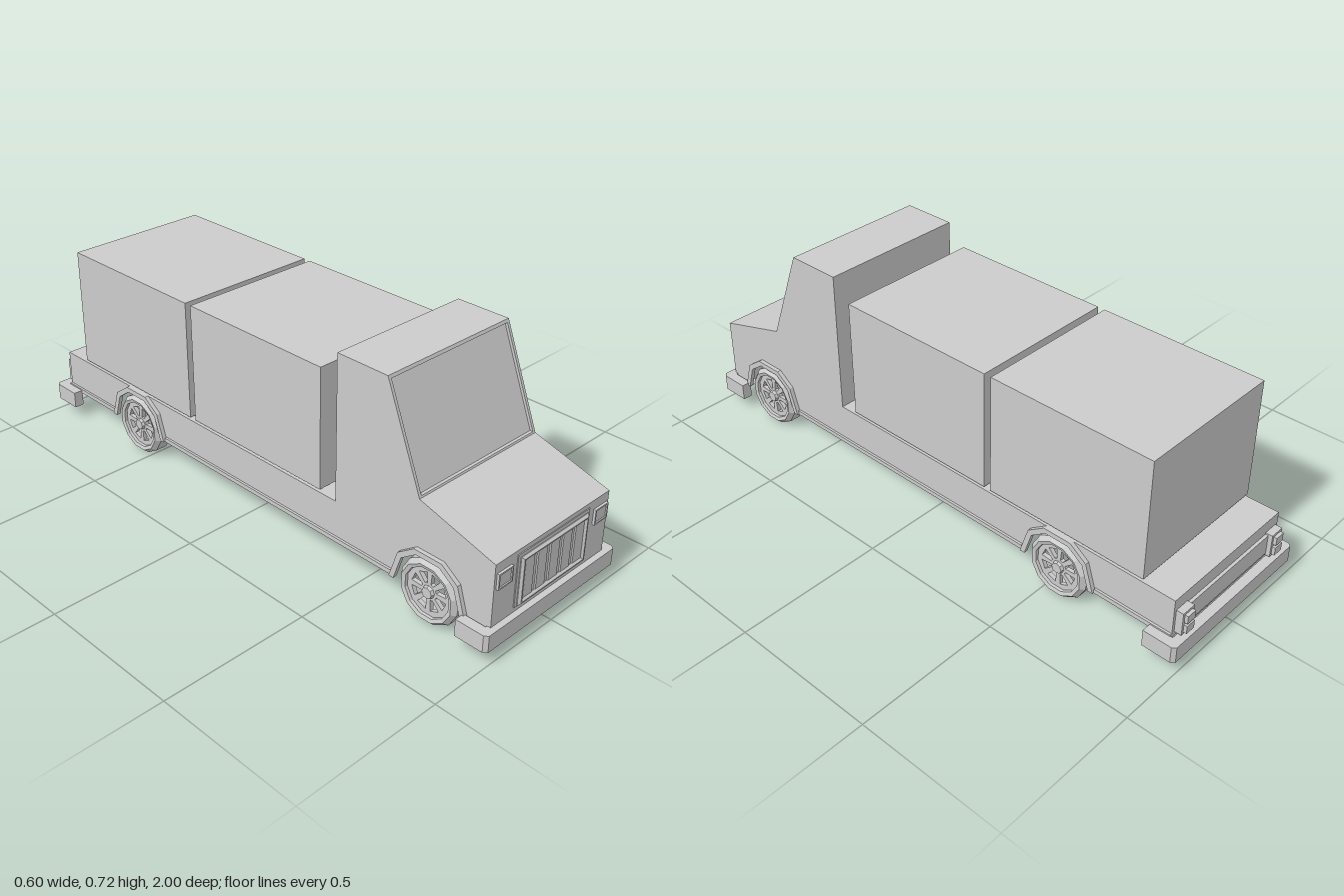
import * as THREE from 'three';

const mat = new THREE.MeshStandardMaterial({ color: 0xcccccc, flatShading: true });
const W = 0.258, FLOOR = 0.095, AXLES = [0.76, -0.55];

const shapeOf = (pts) => new THREE.Shape(pts.map(([x, y]) => new THREE.Vector2(x, y)));

function add(parent, name, geo, x = 0, y = 0, z = 0) {
  const m = new THREE.Mesh(geo, mat);
  m.name = name;
  m.position.set(x, y, z);
  parent.add(m);
  return m;
}

// box given by its limits
function box(parent, name, x0, x1, y0, y1, z0, z1) {
  return add(parent, name, new THREE.BoxGeometry(x1 - x0, y1 - y0, z1 - z0),
    (x0 + x1) / 2, (y0 + y1) / 2, (z0 + z1) / 2);
}

// extrude a (z, y) outline sideways from x0 to x1
function extrudeX(pts, x0, x1) {
  const g = new THREE.ExtrudeGeometry(shapeOf(pts), { depth: x1 - x0, bevelEnabled: false });
  return g.rotateY(-Math.PI / 2).translate(x1, 0, 0);
}

// wheel arch outline around an axle, front to back or reversed
const archOuter = [[0.14, FLOOR], [0.11, 0.19], [0.05, 0.233], [-0.05, 0.233], [-0.11, 0.19], [-0.14, FLOOR]];
const archInner = [[0.122, FLOOR], [0.096, 0.178], [0.043, 0.216], [-0.043, 0.216], [-0.096, 0.178], [-0.122, FLOOR]];
const at = (arch, zc) => arch.map(([z, y]) => [z + zc, y]);

// rectangular frame with a hole, facing +z
function frameGeo(w, h, border, depth, bevel = 0) {
  const rect = (a, b) => [[-a, -b], [a, -b], [a, b], [-a, b]];
  const s = shapeOf(rect(w / 2 - bevel, h / 2 - bevel));
  s.holes.push(shapeOf(rect(w / 2 - border + bevel, h / 2 - border + bevel)));
  return new THREE.ExtrudeGeometry(s, {
    depth, bevelEnabled: bevel > 0, bevelSize: bevel, bevelThickness: bevel, bevelSegments: 1,
  });
}

function makeBody() {
  const body = new THREE.Group();
  body.name = 'body';
  const top = [[0.98, FLOOR], [0.98, 0.312], [0.71, 0.39], [0.7, 0.39], [0.57, 0.72],
    [0.39, 0.72], [0.39, 0.232], [-0.96, 0.232], [-0.96, FLOOR]];

  // hollow skin across the width
  const pos = [];
  for (let i = 0; i < top.length - 1; i++) {
    const [az, ay] = top[i], [bz, by] = top[i + 1];
    const a = [-W, ay, az], b = [W, ay, az], c = [W, by, bz], d = [-W, by, bz];
    pos.push(...a, ...b, ...c, ...a, ...c, ...d);
  }
  const skin = new THREE.BufferGeometry();
  skin.setAttribute('position', new THREE.Float32BufferAttribute(pos, 3));
  skin.computeVertexNormals();
  add(body, 'bodySkin', skin);

  // side panels with wheel openings
  const outline = [...top, ...at(archInner, AXLES[1]).reverse(), ...at(archInner, AXLES[0]).reverse()];
  for (const s of [1, -1]) {
    const g = new THREE.ShapeGeometry(shapeOf(outline.map(([z, y]) => [-s * z, y])));
    add(body, 'sidePanel', g.rotateY(s * Math.PI / 2), s * W);
  }

  // floor with notches for the wheels
  const edge = [];
  for (const zc of [...AXLES].reverse()) {
    edge.push([W, zc - 0.122], [0.19, zc - 0.122], [0.19, zc + 0.122], [W, zc + 0.122]);
  }
  const half = [[W, -0.96], ...edge, [W, 0.98]];
  const floor = shapeOf([...half, ...half.map(([x, z]) => [-x, z]).reverse()]);
  add(body, 'floor', new THREE.ShapeGeometry(floor).rotateX(Math.PI / 2), 0, FLOOR);

  // raised frame around the windshield
  const slope = (y) => 0.71 - (y - 0.39) * 0.13 / 0.33;
  const bar = (y0, y1, x0, x1) => add(body, 'windshieldFrame', extrudeX(
    [[slope(y0), y0], [slope(y1), y1], [slope(y1) - 0.01, y1], [slope(y0) - 0.01, y0]], x0, x1));
  bar(0.39, 0.72, 0.248, W);
  bar(0.39, 0.72, -W, -0.248);
  bar(0.71, 0.72, -0.248, 0.248);
  bar(0.39, 0.396, -0.248, 0.248);
  return body;
}

function makeWheel() {
  const wheel = new THREE.Group();
  wheel.name = 'wheel';
  const tire = [[0.078, -0.028], [0.094, -0.036], [0.107, -0.02], [0.107, 0.02], [0.094, 0.036],
    [0.082, 0.032], [0.078, -0.028]].map(([r, y]) => new THREE.Vector2(r, y));
  const t = new THREE.LatheGeometry(tire, 12);
  add(wheel, 'tire', t.rotateY(Math.PI / 12).rotateZ(-Math.PI / 2));

  // rim with eight wedge openings
  const rim = new THREE.Shape().absarc(0, 0, 0.083, 0, Math.PI * 2);
  for (let i = 0; i < 8; i++) {
    const a = (i + 0.5) * Math.PI / 4;
    const p = (r, da) => [r * Math.cos(a + da), r * Math.sin(a + da)];
    rim.holes.push(shapeOf([p(0.028, -0.16), p(0.064, -0.25), p(0.064, 0.25), p(0.028, 0.16)]));
  }
  const rg = new THREE.ExtrudeGeometry(rim, { depth: 0.014, bevelEnabled: false, curveSegments: 12 });
  add(wheel, 'rim', rg.rotateY(Math.PI / 2), 0.008);
  add(wheel, 'hub', new THREE.CylinderGeometry(0.018, 0.022, 0.012, 8).rotateZ(-Math.PI / 2), 0.026);
  return wheel;
}

// U-shaped bumper with chamfered corners, wrapping the front end
function makeBumper(name) {
  const half = [[0.298, 0.89], [0.298, 0.988], [0.288, 1]];
  const inner = [[0.264, 0.968], [0.264, 0.89]];
  const mirror = (p) => p.map(([x, z]) => [-x, z]).reverse();
  const s = shapeOf([...half, ...mirror(half), ...mirror(inner), ...inner]);
  const g = new THREE.ExtrudeGeometry(s, { depth: 0.057, bevelEnabled: false });
  const m = new THREE.Mesh(g.rotateX(Math.PI / 2).translate(0, 0.105, 0), mat);
  m.name = name;
  return m;
}

export function createModel() {
  const truck = new THREE.Group();
  truck.name = 'truck';
  truck.add(makeBody());

  for (const s of [1, -1]) {
    const x0 = s > 0 ? W : -0.272, x1 = s > 0 ? 0.272 : -W;
    for (const zc of AXLES) {
      add(truck, 'wheelArch', extrudeX([...at(archOuter, zc), ...at(archInner, zc).reverse()], x0, x1));
      const wheel = makeWheel();
      wheel.position.set(s * 0.236, 0.105, zc);
      if (s < 0) wheel.rotation.y = Math.PI;
      truck.add(wheel);
    }
    // sill strips between and behind the arches
    const sx = [s * 0.25, s * 0.266].sort((a, b) => a - b);
    for (const [z0, z1] of [[-0.41, 0.62], [-0.96, -0.69]]) {
      box(truck, 'sill', ...sx, FLOOR, 0.11, z0, z1);
    }
    // headlight
    add(truck, 'headlightFrame', frameGeo(0.062, 0.052, 0.005, 0.01), s * 0.218, 0.254, 0.978);
    box(truck, 'headlightLens', s * 0.218 - 0.027, s * 0.218 + 0.027, 0.231, 0.277, 0.975, 0.984);
    // tail light with two lenses
    box(truck, 'tailLight', s * 0.222 - 0.026, s * 0.222 + 0.026, 0.112, 0.192, -0.984, -0.955);
    for (const y of [0.133, 0.17]) {
      box(truck, 'tailLightLens', s * 0.222 - 0.018, s * 0.222 + 0.018, y - 0.014, y + 0.014, -0.995, -0.98);
    }
  }

  truck.add(makeBumper('frontBumper'));
  const rear = makeBumper('rearBumper');
  rear.rotation.y = Math.PI;
  truck.add(rear);
  box(truck, 'tailPanel', -0.245, 0.245, 0.118, 0.186, -0.97, -0.955);

  // grille
  box(truck, 'grillePlate', -0.163, 0.163, 0.122, 0.297, 0.97, 0.983);
  add(truck, 'grilleFrame', frameGeo(0.306, 0.162, 0.018, 0.002, 0.007), 0, 0.206, 0.984);
  for (let i = -2; i <= 2; i++) {
    box(truck, 'grilleBar', i * 0.057 - 0.02, i * 0.057 + 0.02, 0.143, 0.27, 0.98, 0.988);
  }

  // cargo boxes on low runners
  for (const [z0, z1] of [[-0.25, 0.325], [-0.85, -0.275]]) {
    box(truck, 'cargoBox', -W, W, 0.242, 0.65, z0, z1);
    for (const s of [1, -1]) {
      box(truck, 'cargoRunner', s * 0.15 - 0.03, s * 0.15 + 0.03, 0.23, 0.244, z0 + 0.03, z1 - 0.03);
    }
  }
  return truck;
}
